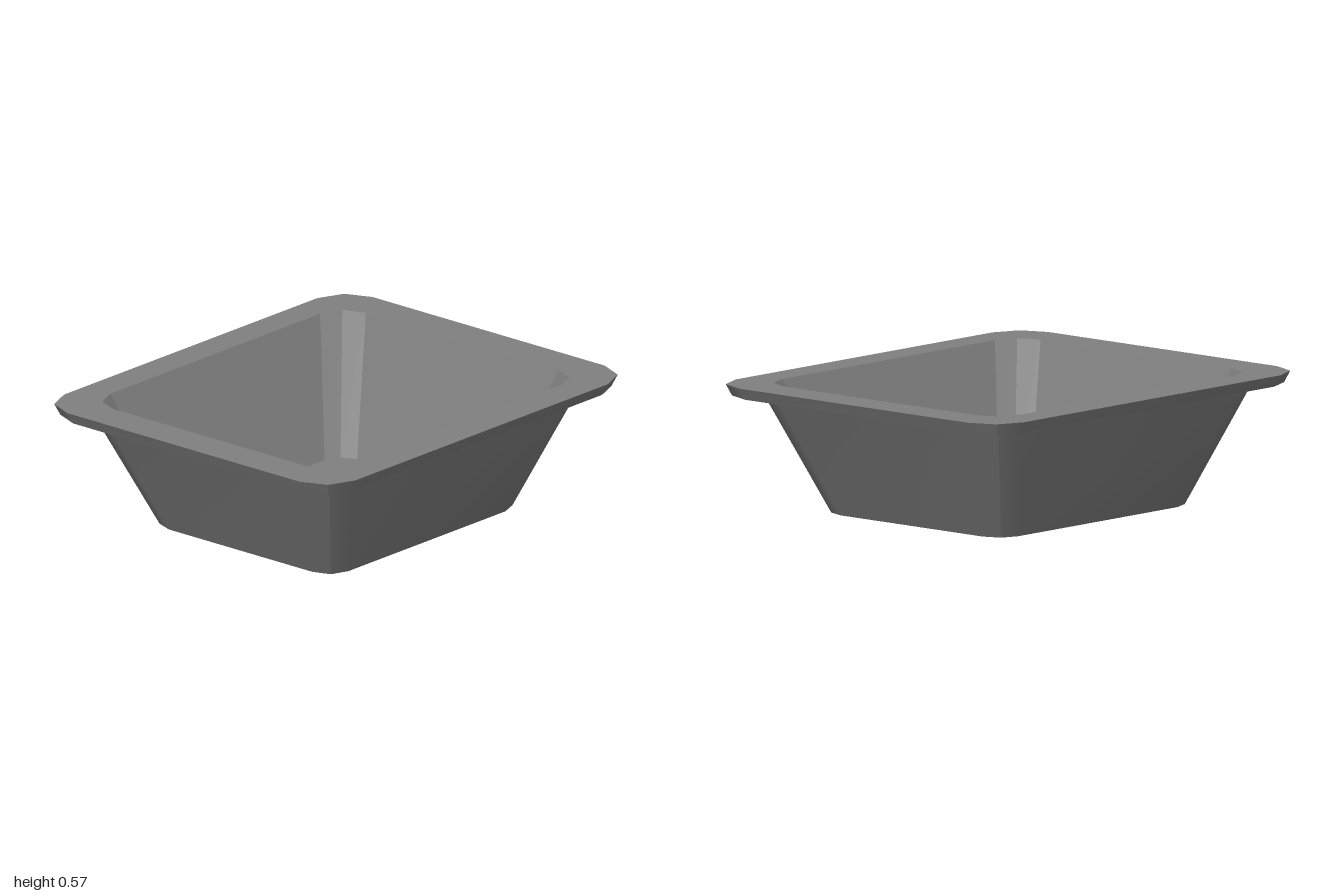
import * as THREE from 'three';

// Rectangle ring with two-facet corners: half width, half depth, corner cut c, corner inset m.
function ring({ y, hx, hz, c, m }) {
  const corner = [[hx, hz - c], [hx - m, hz - m], [hx - c, hz]];
  const points = [];
  for (const [sx, sz] of [[1, 1], [-1, 1], [-1, -1], [1, -1]]) {
    const ordered = sx * sz > 0 ? corner : [...corner].reverse();
    for (const [x, z] of ordered) points.push([sx * x, y, sz * z]);
  }
  return points;
}

// Skins a series of rings. Each side is shaded smoothly up to the corner middles,
// or facet by facet when flat; optional caps close the first or last ring.
function loft(name, sections, material, { capStart = false, capEnd = false, flat = false } = {}) {
  const rings = sections.map(ring);
  const n = rings[0].length;
  const pos = [];
  const index = [];

  for (let k = 0; k < rings.length - 1; k++) {
    for (let start = 1; start < n; start += 3) {
      const first = pos.length / 3;
      for (let i = 0; i < 4; i++) {
        pos.push(...rings[k][(start + i) % n], ...rings[k + 1][(start + i) % n]);
      }
      for (let i = 0; i < 3; i++) {
        const a = first + 2 * i;
        index.push(a, a + 1, a + 2, a + 2, a + 1, a + 3);
      }
    }
  }

  const cap = (points, up) => {
    const first = pos.length / 3;
    pos.push(...points.flat());
    for (let i = 1; i < n - 1; i++) {
      if (up) index.push(first, first + i + 1, first + i);
      else index.push(first, first + i, first + i + 1);
    }
  };
  if (capStart) cap(rings[0], false);
  if (capEnd) cap(rings[rings.length - 1], true);

  const indexed = new THREE.BufferGeometry();
  indexed.setAttribute('position', new THREE.Float32BufferAttribute(pos, 3));
  indexed.setIndex(index);
  const geometry = flat ? indexed.toNonIndexed() : indexed;
  geometry.computeVertexNormals();
  const mesh = new THREE.Mesh(geometry, material);
  mesh.name = name;
  return mesh;
}

export function createModel() {
  const material = new THREE.MeshStandardMaterial({ color: 0x808080 });

  const base = { y: 0, hx: 0.525, hz: 0.625, c: 0.11, m: 0.03 };
  const wallTop = { y: 0.525, hx: 0.725, hz: 0.86, c: 0.145, m: 0.04 };
  const rimBottom = { y: 0.525, hx: 0.82, hz: 0.978, c: 0.165, m: 0.048 };
  const rimTop = { y: 0.575, hx: 0.84, hz: 1, c: 0.17, m: 0.05 };
  const opening = { y: 0.575, hx: 0.697, hz: 0.828, c: 0.14, m: 0.04 };
  const floor = { y: 0.005, hx: 0.493, hz: 0.585, c: 0.1, m: 0.03 };

  const tray = new THREE.Group();
  tray.name = 'tray';
  tray.add(
    // Sloping outside wall with flat underside
    loft('outerShell', [base, wallTop], material, { capStart: true }),
    // Overhanging lip: underside, edge and top
    loft('rim', [wallTop, rimBottom, rimTop, opening], material),
    // Inside wall and floor
    loft('innerBasin', [opening, floor], material, { capEnd: true, flat: true }),
  );
  return tray;
}
